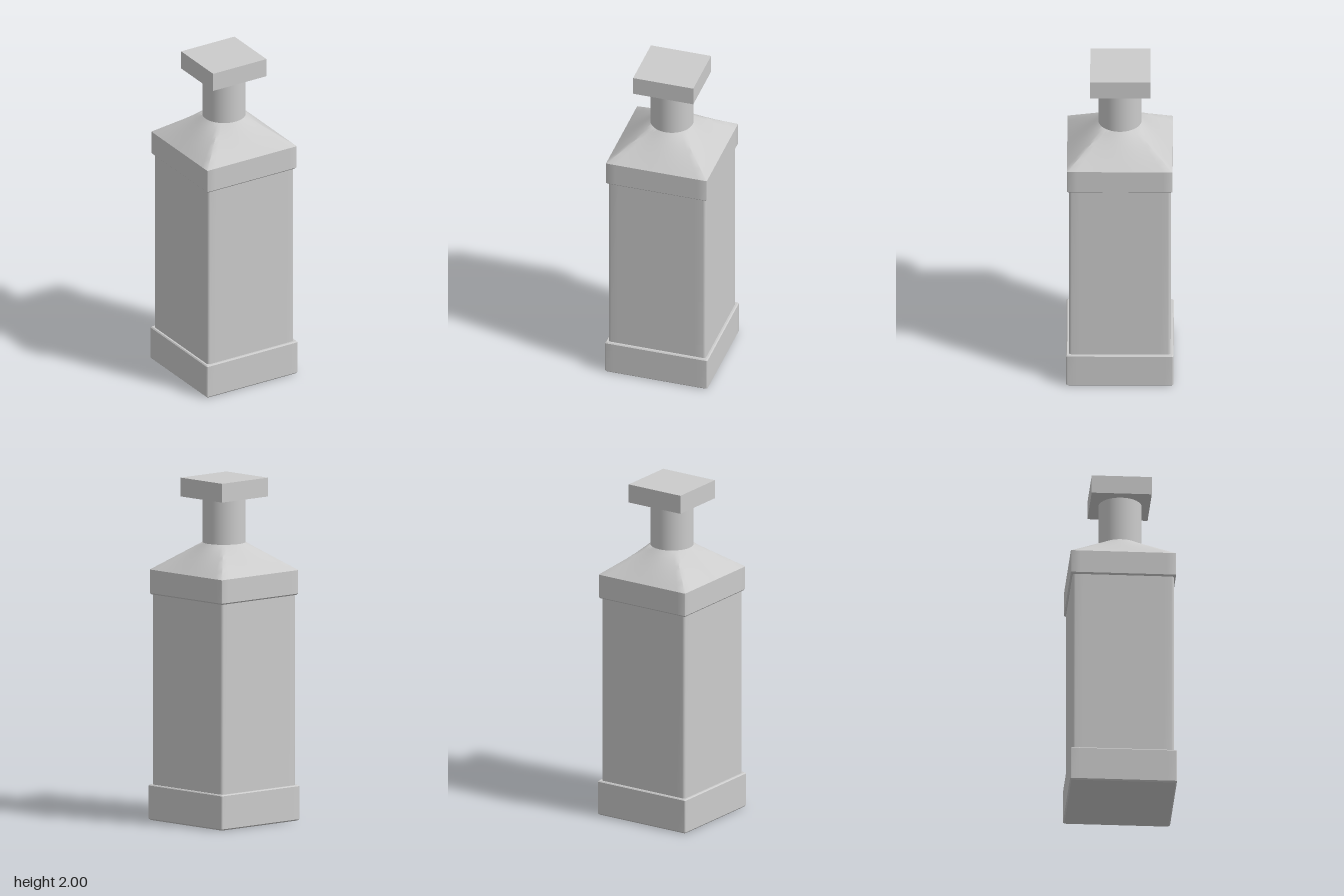
import * as THREE from 'three';
import { toCreasedNormals } from 'three/addons/utils/BufferGeometryUtils.js';

const material = new THREE.MeshStandardMaterial({ color: 0xcccccc });

// Rounded square outline, with points along the sides so it can blend to a circle
function outline(half, radius, arcSteps = 4, sideSteps = 12) {
  const points = [];
  const c = half - radius;
  for (let q = 0; q < 4; q++) {
    const turn = q * Math.PI / 2;
    const centre = new THREE.Vector2(c, c).rotateAround(new THREE.Vector2(), turn);
    for (let i = 0; i <= arcSteps; i++) {
      const a = turn + (i / arcSteps) * Math.PI / 2;
      points.push(new THREE.Vector2(centre.x + radius * Math.cos(a), centre.y + radius * Math.sin(a)));
    }
    const from = points[points.length - 1];
    const to = new THREE.Vector2(-c, half).rotateAround(new THREE.Vector2(), turn);
    for (let i = 1; i < sideSteps; i++) points.push(from.clone().lerp(to, i / sideSteps));
  }
  return points;
}

// Skins a stack of matching outlines and closes both ends
function loft(name, rings) {
  const n = rings[0].points.length;
  const positions = [];
  const index = [];
  for (const { y, points } of rings) for (const p of points) positions.push(p.x, y, p.y);
  const last = (rings.length - 1) * n;
  const bottom = positions.length / 3;
  positions.push(0, rings[0].y, 0, 0, rings[rings.length - 1].y, 0);
  for (let i = 0; i < n; i++) {
    const k = (i + 1) % n;
    for (let j = 0; j < last; j += n) {
      index.push(j + i, j + n + i, j + k, j + k, j + n + i, j + n + k);
    }
    index.push(bottom, i, k, bottom + 1, last + k, last + i);
  }
  const geometry = new THREE.BufferGeometry();
  geometry.setAttribute('position', new THREE.Float32BufferAttribute(positions, 3));
  geometry.setIndex(index);
  const mesh = new THREE.Mesh(toCreasedNormals(geometry, 0.6), material);
  mesh.name = name;
  return mesh;
}

// Square block with rounded corners and narrow bevels at its ends
function block(name, half, y0, y1, radius, bevelBottom, bevelTop) {
  const ring = (inset, y) => ({ y, points: outline(half - inset, radius) });
  const rings = [ring(bevelBottom, y0)];
  if (bevelBottom) rings.push(ring(0, y0 + bevelBottom));
  if (bevelTop) rings.push(ring(0, y1 - bevelTop));
  rings.push(ring(bevelTop, y1));
  return loft(name, rings);
}

export function createModel() {
  const model = new THREE.Group();
  model.name = 'squareBottle';

  // Foot, body and collar
  model.add(
    block('base', 0.31, 0, 0.207, 0.008, 0.008, 0.006),
    block('body', 0.294, 0.2, 1.33, 0.016, 0, 0),
    block('collar', 0.305, 1.317, 1.462, 0.005, 0.008, 0)
  );

  // Shoulder blends from the square collar to the round neck
  const square = outline(0.305, 0.005);
  const round = square.map((p) => p.clone().setLength(0.125));
  const steps = 8;
  const rings = [];
  for (let i = 0; i <= steps; i++) {
    const t = i / steps;
    rings.push({ y: 1.462 + 0.163 * t, points: square.map((p, k) => p.clone().lerp(round[k], t)) });
  }
  model.add(loft('shoulder', rings));

  // Neck
  const neck = new THREE.Mesh(new THREE.CylinderGeometry(0.125, 0.125, 0.27, 64), material);
  neck.name = 'neck';
  neck.position.y = 1.757;
  model.add(neck);

  // Sharp-edged stopper
  const stopper = new THREE.Mesh(new THREE.BoxGeometry(0.364, 0.11, 0.348), material);
  stopper.name = 'stopper';
  stopper.position.set(0, 1.945, -0.002);
  model.add(stopper);

  return model;
}
